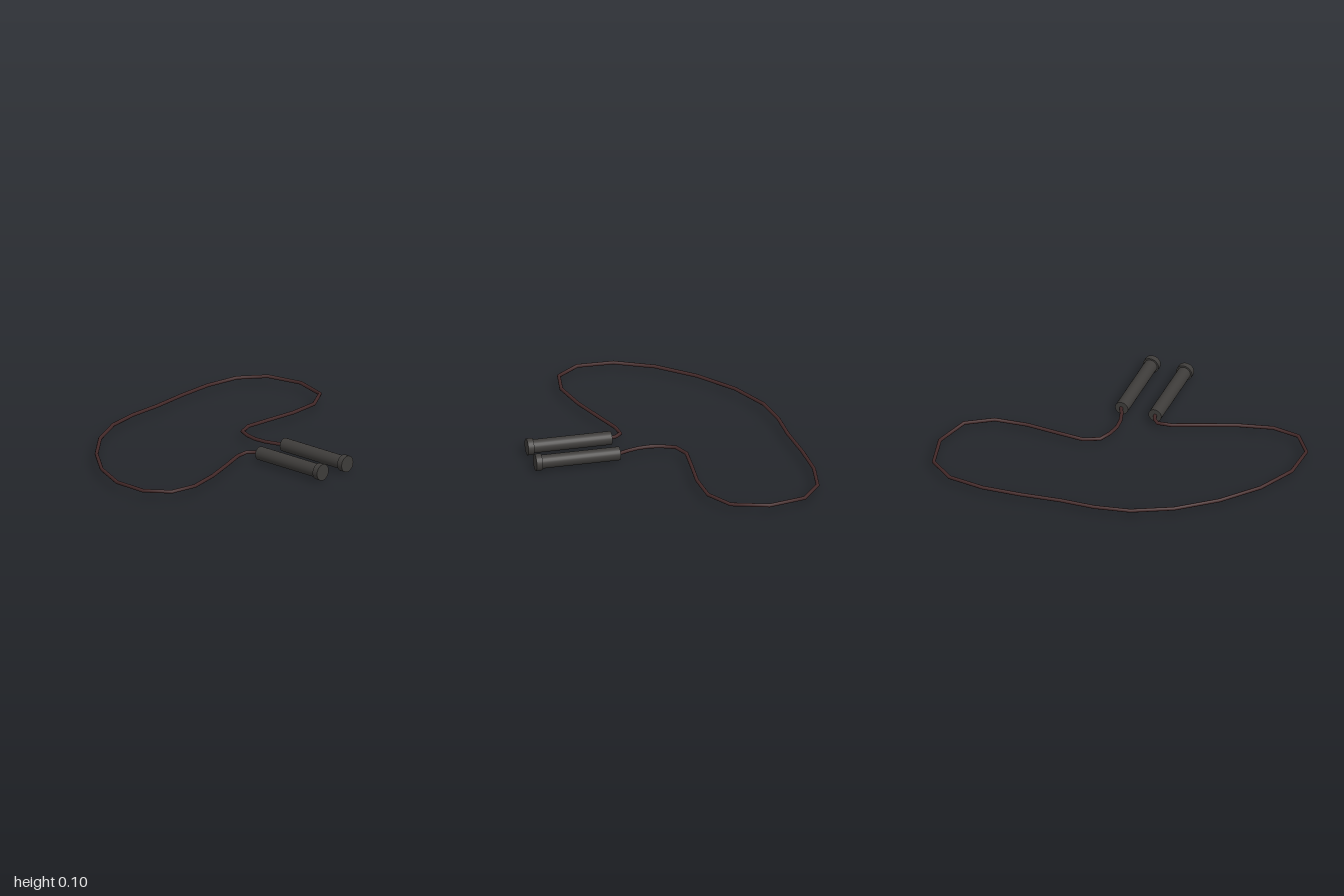
import * as THREE from 'three';

const AXIS_Y = 0.048;
const ROPE_RADIUS = 0.0105;

// Polyline whose samples land exactly on its corners
class RopePath extends THREE.Curve {
  constructor(points) {
    super();
    this.points = points;
  }
  getPoint(t, target = new THREE.Vector3()) {
    const n = this.points.length - 1;
    const i = Math.min(Math.floor(t * n + 1e-6), n - 1);
    return target.lerpVectors(this.points[i], this.points[i + 1], t * n - i);
  }
  getPointAt(u, target) {
    return this.getPoint(u, target);
  }
  // Mean direction of the two neighbouring segments gives mitred corners
  getTangentAt(u, target = new THREE.Vector3()) {
    const p = this.points, last = p.length - 1;
    const i = Math.round(u * last);
    const into = p[Math.max(i, 1)].clone().sub(p[Math.max(i, 1) - 1]).normalize();
    const j = Math.min(i, last - 1);
    const out = p[j + 1].clone().sub(p[j]).normalize();
    return target.copy(into).add(out).normalize();
  }
}

export function createModel() {
  const model = new THREE.Group();
  model.name = 'skippingRope';

  const handleMat = new THREE.MeshStandardMaterial({ color: 0x3e3c3a });
  handleMat.name = 'charcoal handle';
  const ropeMat = new THREE.MeshStandardMaterial({ color: 0x422828 });
  ropeMat.name = 'dark maroon rope';

  // Rope lying flat, from the right handle round to the left handle
  const plan = [
    [-0.058, 0.275], [-0.07, 0.235], [-0.1, 0.204], [-0.18, 0.213], [-0.35, 0.28],
    [-0.53, 0.347], [-0.727, 0.395], [-0.89, 0.37], [-0.988, 0.24], [-0.981, 0.03],
    [-0.877, -0.187], [-0.706, -0.39], [-0.497, -0.56], [-0.273, -0.67], [-0.07, -0.708],
    [0.13, -0.715], [0.37, -0.742], [0.59, -0.754], [0.8, -0.725], [0.94, -0.615],
    [0.985, -0.4], [0.92, -0.19], [0.77, -0.095], [0.58, -0.077], [0.4, -0.09],
    [0.235, -0.1], [0.145, -0.06], [0.115, 0.01], [0.1, 0.08], [0.104, 0.15],
    [0.122, 0.215], [0.147, 0.275],
  ];
  const path = new RopePath(plan.map(([x, z]) => new THREE.Vector3(x, AXIS_Y, z)));
  const rope = new THREE.Mesh(
    new THREE.TubeGeometry(path, plan.length - 1, ROPE_RADIUS, 10, false), ropeMat);
  rope.name = 'rope';
  model.add(rope);

  // Handles: a straight grip with a wider end cap
  function cylinder(name, radius, z0, z1) {
    const geo = new THREE.CylinderGeometry(radius, radius, z1 - z0, 24);
    geo.rotateX(Math.PI / 2);
    const mesh = new THREE.Mesh(geo, handleMat);
    mesh.name = name;
    mesh.position.z = (z0 + z1) / 2;
    return mesh;
  }
  for (const [name, x] of [['rightHandle', -0.059], ['leftHandle', 0.143]]) {
    const handle = new THREE.Group();
    handle.name = name;
    handle.position.set(x, AXIS_Y, 0);
    handle.add(cylinder('grip', 0.039, 0.269, 0.73), cylinder('endCap', 0.048, 0.724, 0.759));
    model.add(handle);
  }

  return model;
}
